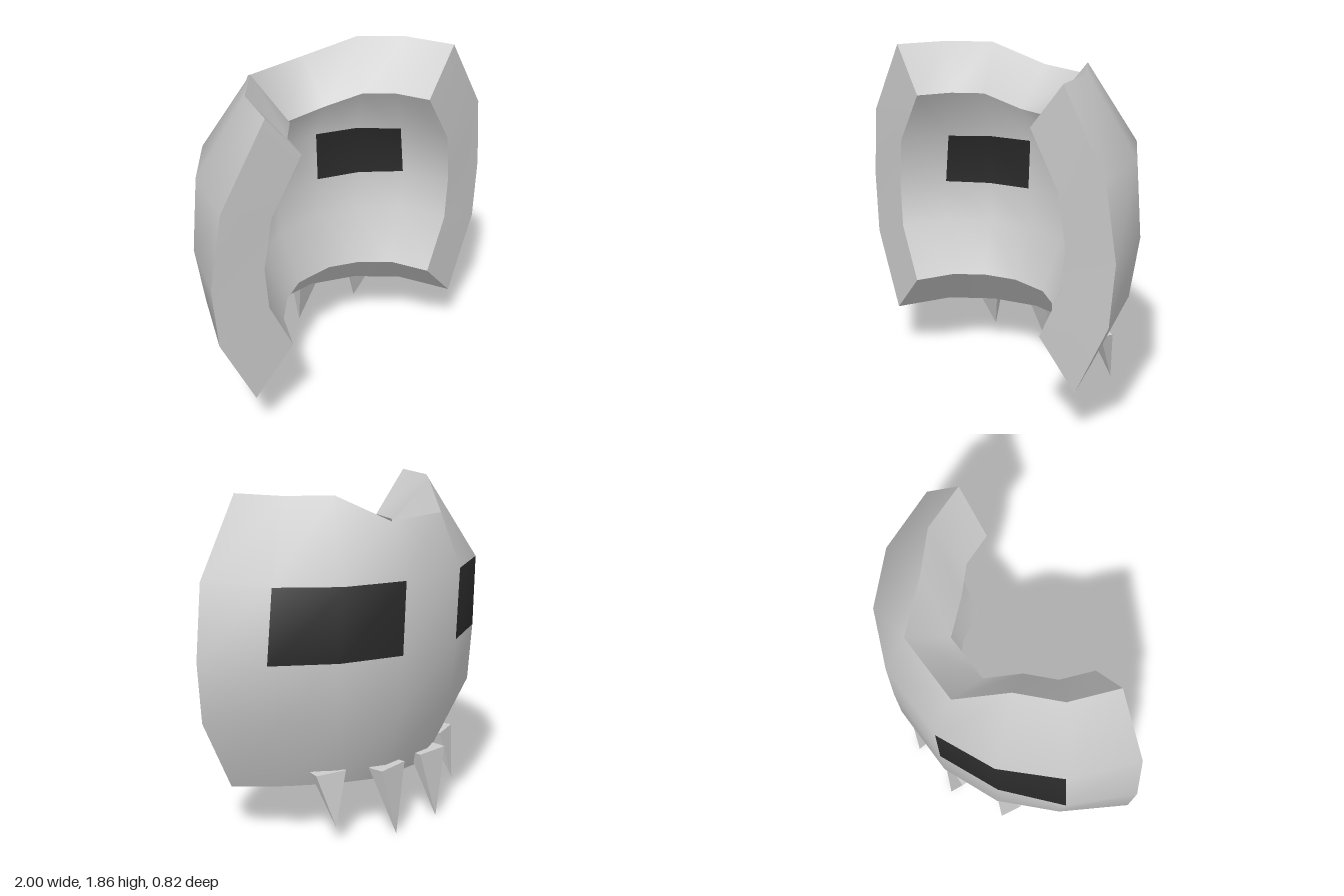
import * as THREE from 'three';

// Half of the outer shell, rows from top to bottom, columns from the side edge to the centre
const HALF = [
  [[0.67, 1.86, 0.38], [0.57, 1.86, 0.12], [0.38, 1.86, -0.06], [0.20, 1.73, -0.29]],
  [[0.94, 1.44, 0.355], [0.79, 1.44, -0.015], [0.54, 1.44, -0.27], [0.22, 1.44, -0.41]],
  [[1.00, 1.03, 0.335], [0.83, 1.04, -0.01], [0.55, 1.04, -0.25], [0.22, 1.04, -0.39]],
  [[0.97, 0.69, 0.345], [0.78, 0.71, 0.01], [0.53, 0.72, -0.235], [0.21, 0.72, -0.365]],
  [[0.76, 0.27, 0.37], [0.61, 0.30, 0.10], [0.41, 0.305, -0.08], [0.17, 0.30, -0.20]],
];

const grey = new THREE.MeshStandardMaterial({ color: 0xcccccc });
const flatGrey = new THREE.MeshStandardMaterial({ color: 0xcccccc, flatShading: true });
const dark = new THREE.MeshStandardMaterial({ color: 0x2a2a2a });

// Smooth sheet through a grid of points
function sheet(rows, flip = false) {
  const w = rows[0].length, index = [];
  for (let r = 0; r < rows.length - 1; r++) {
    for (let c = 0; c < w - 1; c++) {
      const a = r * w + c, b = a + 1, d = a + w, e = d + 1;
      index.push(...(flip ? [a, b, d, b, e, d] : [a, d, b, b, d, e]));
    }
  }
  const geo = new THREE.BufferGeometry();
  geo.setAttribute('position', new THREE.Float32BufferAttribute(rows.flat(2), 3));
  geo.setIndex(index);
  geo.computeVertexNormals();
  return geo;
}

// Part of a sheet, keeping the normals of the whole
function cells(geo, keep) {
  const all = Array.from(geo.index.array), part = geo.clone();
  part.setIndex(all.filter((_, i) => keep(Math.floor(i / 6))));
  return part;
}

export function createModel() {
  const model = new THREE.Group();
  const add = (name, geo, mat) => {
    const mesh = new THREE.Mesh(geo, mat);
    mesh.name = name;
    model.add(mesh);
    return mesh;
  };

  // Mirrored outer shell and the inner shell scaled towards the open side
  const outer = HALF.map(row => [...row, ...[...row].reverse().map(([x, y, z]) => [-x, y, z])]);
  const S = 0.69;
  const inner = outer.map(row => row.map(([x, y, z]) =>
    [x * S, 1.06 + (y - 1.06) * S, 0.47 + (z - 0.47) * S]));

  // Both shells, with dark eye panels in the second row of cells
  const columns = outer[0].length - 1;
  const isLeft = i => i === columns + 1 || i === columns + 2;
  const isRight = i => i === columns + 4 || i === columns + 5;
  for (const [name, geo] of [['outer', sheet(outer)], ['inner', sheet(inner, true)]]) {
    add(name + 'Shell', cells(geo, i => !isLeft(i) && !isRight(i)), grey);
    add(name + 'LeftEye', cells(geo, isLeft), dark);
    add(name + 'RightEye', cells(geo, isRight), dark);
  }

  // Rim strips joining the shells
  const last = outer.length - 1;
  add('topRim', sheet([inner[0], outer[0]]), grey);
  add('bottomRim', sheet([outer[last], inner[last]]), grey);
  add('leftRim', sheet(outer.map((row, r) => [inner[r][0], row[0]])), grey);
  add('rightRim', sheet(outer.map((row, r) => [row[columns], inner[r][columns]])), grey);

  // Four-sided fangs: a box-shaped base narrowing to a tip
  const fang = (name, [x, y, z], [tx, ty, tz], width, depth, yaw) => {
    const geo = new THREE.ConeGeometry(Math.SQRT1_2, 1, 4, 1).rotateY(Math.PI / 4);
    geo.rotateX(Math.PI).translate(0, -0.5, 0).scale(width, y - ty, depth).rotateY(yaw);
    const p = geo.attributes.position;
    for (let i = 0; i < p.count; i++) {
      const t = -p.getY(i) / (y - ty);
      p.setXYZ(i, p.getX(i) + x + (tx - x) * t, p.getY(i) + y, p.getZ(i) + z + (tz - z) * t);
    }
    geo.computeVertexNormals();
    add(name, geo, flatGrey);
  };
  for (const [side, s] of [['left', 1], ['right', -1]]) {
    fang(side + 'InnerFang', [s * 0.17, 0.385, -0.235], [s * 0.17, 0, -0.305], 0.2, 0.09, s * 0.06);
    fang(side + 'OuterFang', [s * 0.475, 0.395, -0.085], [s * 0.495, 0.1, -0.16], 0.18, 0.07, -s * 0.3);
  }
  return model;
}
